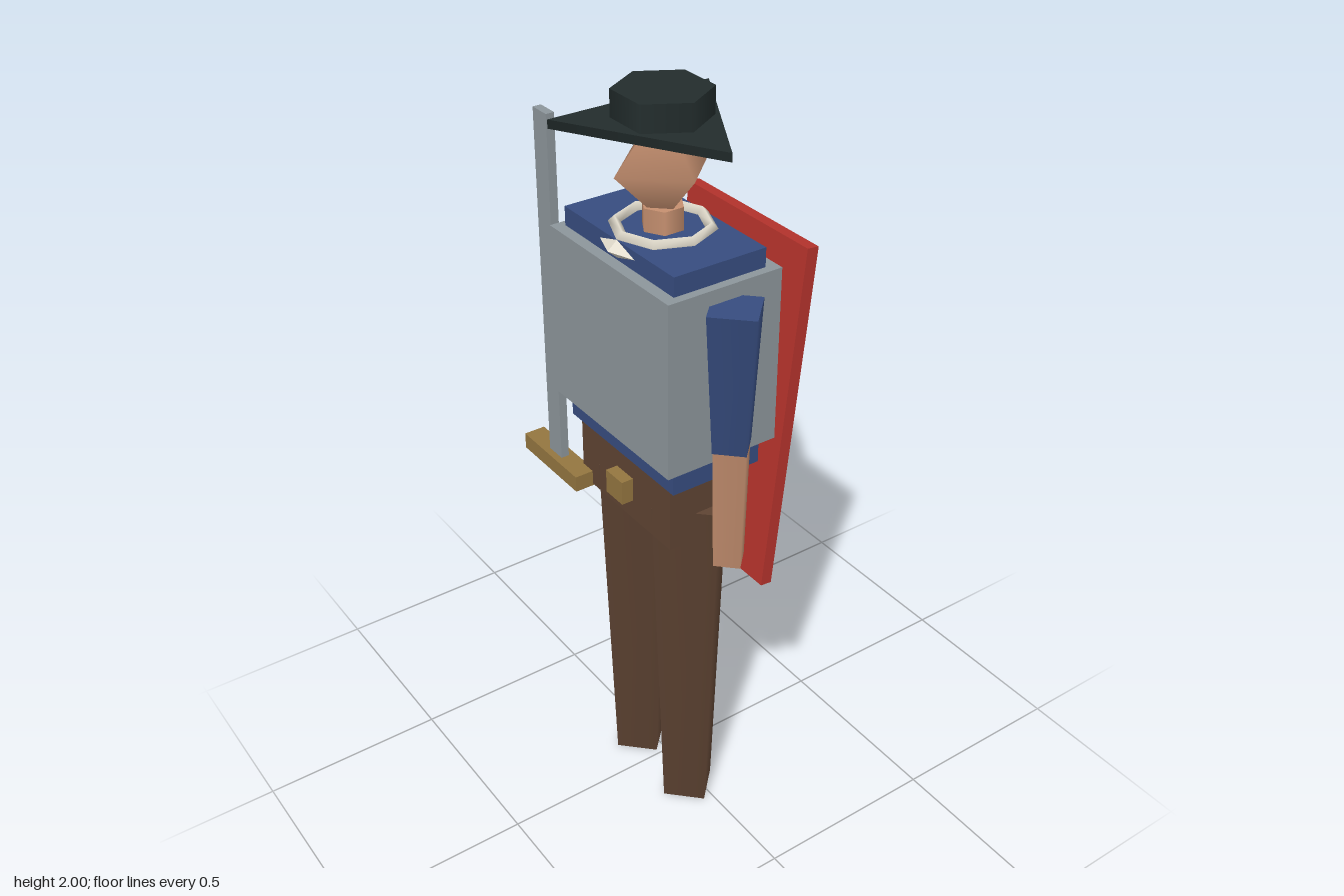
import * as THREE from 'three';

const mat = (name, color) => {
  const m = new THREE.MeshStandardMaterial({ color });
  m.name = name;
  return m;
};

export function createModel() {
  const skin = mat('skin', 0xc69070);
  const blue = mat('blue cloth', 0x374d80);
  const steel = mat('steel', 0x8d969b);
  const brown = mat('brown leather', 0x5f4433);
  const gold = mat('brass', 0x947640);
  const black = mat('dark felt', 0x232d2d);
  const cream = mat('cream linen', 0xe2dccd);
  const red = mat('red cloth', 0xb5332c);

  const model = new THREE.Group();
  model.name = 'swordsman';
  // the figure's own axis sits slightly off the overall centre
  const body = new THREE.Group();
  body.name = 'figure';
  body.position.set(0.022, 0, 0.027);
  model.add(body);

  const add = (name, geometry, material, x, y, z) => {
    const mesh = new THREE.Mesh(geometry, material);
    mesh.name = name;
    mesh.position.set(x, y, z);
    body.add(mesh);
    return mesh;
  };
  const box = (name, material, w, h, d, x, y, z) =>
    add(name, new THREE.BoxGeometry(w, h, d), material, x, y, z);
  const tube = (name, material, rTop, rBottom, y0, y1, sides, x = 0) =>
    add(name, new THREE.CylinderGeometry(rTop, rBottom, y1 - y0, sides), material, x, (y0 + y1) / 2, 0);

  // four-sided limbs, mirrored
  for (const [side, s] of [['left', 1], ['right', -1]]) {
    tube(side + 'Leg', brown, 0.117, 0.08, 0, 1.0, 4, s * 0.116);
    tube(side + 'Sleeve', blue, 0.08, 0.057, 1.225, 1.588, 4, s * 0.275);
    tube(side + 'Forearm', skin, 0.055, 0.047, 0.896, 1.225, 4, s * 0.275);
  }

  // torso
  box('hips', brown, 0.385, 0.18, 0.23, 0, 1.012, 0);
  box('buckle', gold, 0.07, 0.065, 0.035, 0, 1.01, 0.13);
  box('shirt', blue, 0.438, 0.57, 0.25, 0, 1.388, 0);
  box('breastplate', steel, 0.48, 0.453, 0.31, 0.001, 1.398, 0);

  // collar ring with small pointed ruffles
  const collar = add('collar', new THREE.TorusGeometry(0.112, 0.015, 4, 8), cream, 0, 1.677, 0);
  collar.rotation.x = Math.PI / 2;
  for (const s of [1, -1]) {
    const ruffle = add('collarRuffle', new THREE.OctahedronGeometry(1), cream, 0, 1.652, s * 0.125);
    ruffle.scale.set(0.07, 0.022, 0.025);
  }

  // head
  tube('neck', skin, 0.052, 0.052, 1.66, 1.73, 6);
  const head = add('head', new THREE.SphereGeometry(1, 4, 2), skin, 0, 1.822, 0);
  head.scale.set(0.121, 0.138, 0.13);

  // three-cornered hat
  tube('hatBrim', black, 0.25, 0.25, 1.914, 1.935, 3).rotation.y = Math.PI / 2;
  tube('hatCrown', black, 0.115, 0.115, 1.93, 2.0, 6).rotation.y = Math.PI / 2;

  // cape board hanging off the back
  box('cape', red, 0.457, 0.93, 0.032, 0, 1.177, -0.207).rotation.x = -0.1;

  // sword held upright at the right hand
  box('swordBlade', steel, 0.057, 0.935, 0.022, -0.275, 1.425, 0.137);
  box('swordGuard', gold, 0.25, 0.044, 0.058, -0.275, 0.939, 0.137);

  return model;
}
